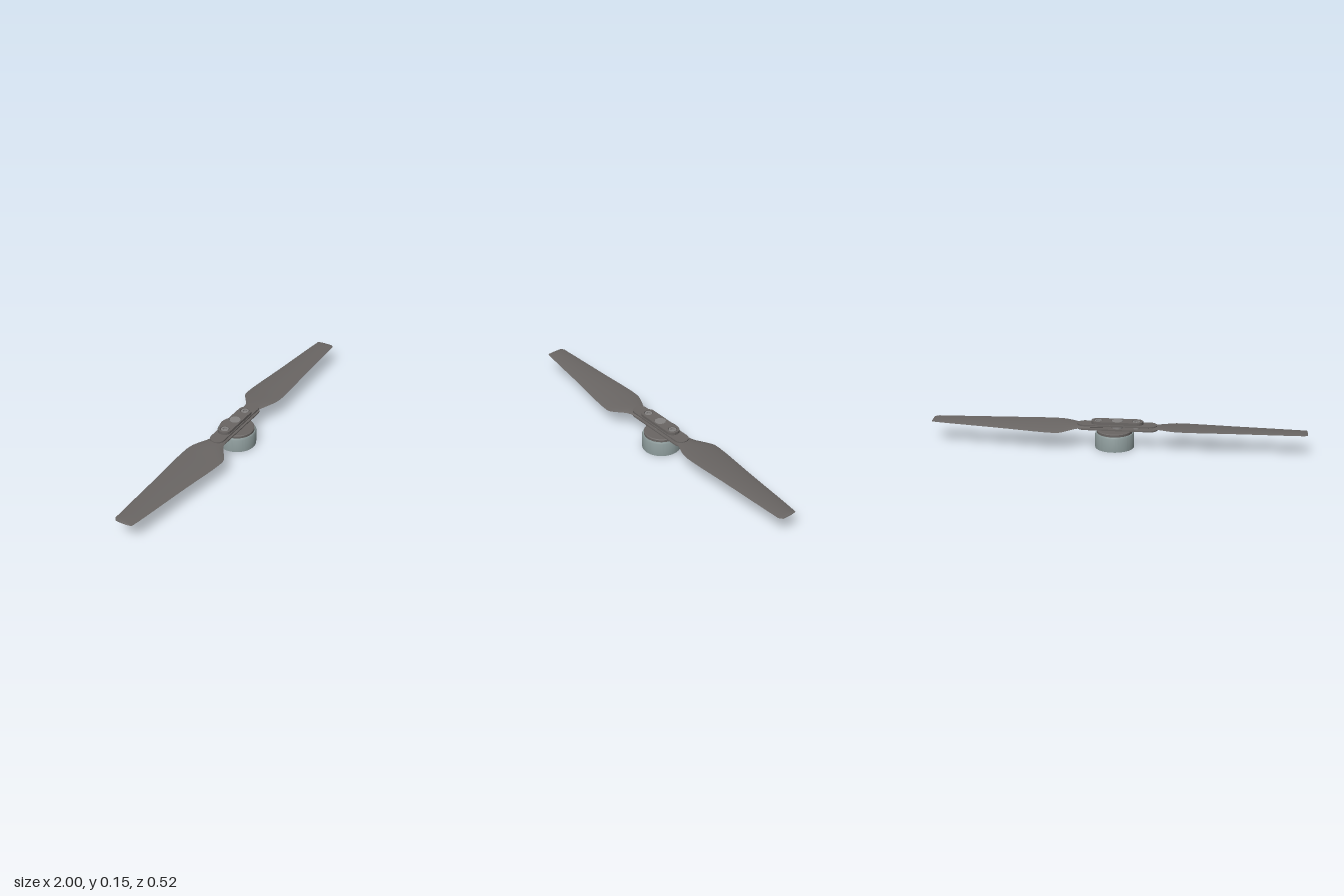
import * as THREE from 'three';
import { toCreasedNormals } from 'three/addons/utils/BufferGeometryUtils.js';

const dark = new THREE.MeshStandardMaterial({ color: 0x6a6664 });
const metal = new THREE.MeshStandardMaterial({ color: 0x8c9a9a });
const screwGrey = new THREE.MeshStandardMaterial({ color: 0x858382 });
const HUB_ANGLE = 0.222;

function add(parent, name, geometry, material) {
  const mesh = new THREE.Mesh(geometry, material);
  mesh.name = name;
  parent.add(mesh);
  return mesh;
}

function lathe(points) {
  const profile = points.map(([r, y]) => new THREE.Vector2(r, y));
  return toCreasedNormals(new THREE.LatheGeometry(profile, 64), 0.5);
}

// Flat bar with round ends, spanning y0..y1, with optional round holes [x, r]
function capsulePlate(reach, radius, y0, y1, holes = []) {
  const shape = new THREE.Shape();
  shape.absarc(reach, 0, radius, -Math.PI / 2, Math.PI / 2, false);
  shape.absarc(-reach, 0, radius, Math.PI / 2, Math.PI * 1.5, false);
  shape.closePath();
  for (const [x, r] of holes) {
    shape.holes.push(new THREE.Path().absarc(x, 0, r, 0, Math.PI * 2, true));
  }
  const geo = new THREE.ExtrudeGeometry(shape, { depth: y1 - y0, bevelEnabled: false, curveSegments: 24 });
  geo.rotateX(-Math.PI / 2).translate(0, y0, 0);
  return toCreasedNormals(geo, 0.5);
}

// Twisted, cambered blade lofted between a trailing and a leading edge
function bladeGeometry() {
  const edge = (pts) => new THREE.CatmullRomCurve3(pts.map((p) => new THREE.Vector3(...p)), false, 'centripetal');
  const trailing = edge([
    [0.07, 0.114, -0.04], [0.14, 0.114, -0.075], [0.195, 0.112, -0.105], [0.235, 0.108, -0.148],
    [0.27, 0.105, -0.181], [0.32, 0.105, -0.194], [0.6, 0.11, -0.221], [0.95, 0.116, -0.256],
    [0.976, 0.117, -0.256], [0.984, 0.117, -0.238],
  ]);
  const leading = edge([
    [0.08, 0.116, 0.0], [0.14, 0.117, -0.01], [0.2, 0.119, -0.002], [0.25, 0.121, 0.008],
    [0.3, 0.122, 0.016], [0.35, 0.122, 0.013], [0.64, 0.121, -0.063], [0.955, 0.119, -0.146],
    [0.988, 0.119, -0.156], [1.0, 0.118, -0.172],
  ]);
  const rows = 54, n = 10, ring = 2 * n;
  const pos = [], index = [];
  for (let s = 0; s <= rows; s++) {
    const t = s / rows;
    const a = trailing.getPoint(t), b = leading.getPoint(t);
    const thick = 0.0105 * (1 - t) + 0.003;
    const camber = 0.005 * Math.sin(Math.PI * t);
    for (let i = 0; i < ring; i++) {
      const top = i <= n;
      const u = top ? i / n : (ring - i) / n;
      const bulge = 4 * u * (1 - u);
      const p = a.clone().lerp(b, u);
      p.y += camber * bulge + (top ? 0.5 : -0.5) * (0.0012 + thick * Math.sqrt(bulge) * 0.75);
      pos.push(p.x, p.y, p.z);
    }
  }
  for (let s = 0; s < rows; s++) {
    for (let i = 0; i < ring; i++) {
      const j = (i + 1) % ring, q = s * ring, r = q + ring;
      index.push(q + i, q + j, r + i, q + j, r + j, r + i);
    }
  }
  // Close both ends
  const last = rows * ring;
  for (let i = 1; i < ring - 1; i++) {
    index.push(0, i + 1, i, last, last + i, last + i + 1);
  }
  const geo = new THREE.BufferGeometry();
  geo.setAttribute('position', new THREE.Float32BufferAttribute(pos, 3));
  geo.setIndex(index);
  return toCreasedNormals(geo, 0.7);
}

export function createModel() {
  const model = new THREE.Group();
  model.name = 'propellerAndMotor';

  // Motor can and the stepped disc on its top
  const motor = new THREE.Group();
  motor.name = 'motor';
  motor.position.x = 0.015;
  model.add(motor);
  add(motor, 'motorCan', lathe([[0, 0], [0.105, 0], [0.105, 0.074], [0.101, 0.082], [0, 0.082]]), metal);
  add(motor, 'motorTopDisc', lathe([[0, 0.08], [0.095, 0.08], [0.095, 0.094], [0.09, 0.097], [0, 0.097]]), dark);

  // Hub: two long plates clamp the blade roots under a short cap
  const hub = new THREE.Group();
  hub.name = 'hub';
  hub.rotation.y = HUB_ANGLE;
  model.add(hub);
  add(hub, 'shaft', lathe([[0, 0.09], [0.03, 0.09], [0.03, 0.147], [0, 0.147]]), screwGrey);
  add(hub, 'lowerPlate', capsulePlate(0.175, 0.042, 0.101, 0.108), dark);
  add(hub, 'upperPlate', capsulePlate(0.175, 0.04, 0.122, 0.13), dark);
  add(hub, 'hubCap', capsulePlate(0.103, 0.037, 0.132, 0.147, [[-0.103, 0.024], [0, 0.031], [0.103, 0.024]]), dark);
  add(hub, 'capSpacer', capsulePlate(0.1, 0.03, 0.129, 0.133), dark);

  // Pivot screws with a socket in the head
  for (const side of [-1, 1]) {
    const screw = add(hub, 'pivotScrew', lathe([
      [0, 0.1], [0.021, 0.1], [0.021, 0.146], [0.011, 0.146], [0.011, 0.138], [0, 0.138],
    ]), screwGrey);
    screw.position.x = 0.103 * side;
  }

  // Two blades, half a turn apart
  const bladeGeo = bladeGeometry();
  for (let i = 0; i < 2; i++) {
    const blade = add(model, i ? 'rightBlade' : 'leftBlade', bladeGeo, dark);
    blade.rotation.y = i * Math.PI;
  }
  return model;
}
